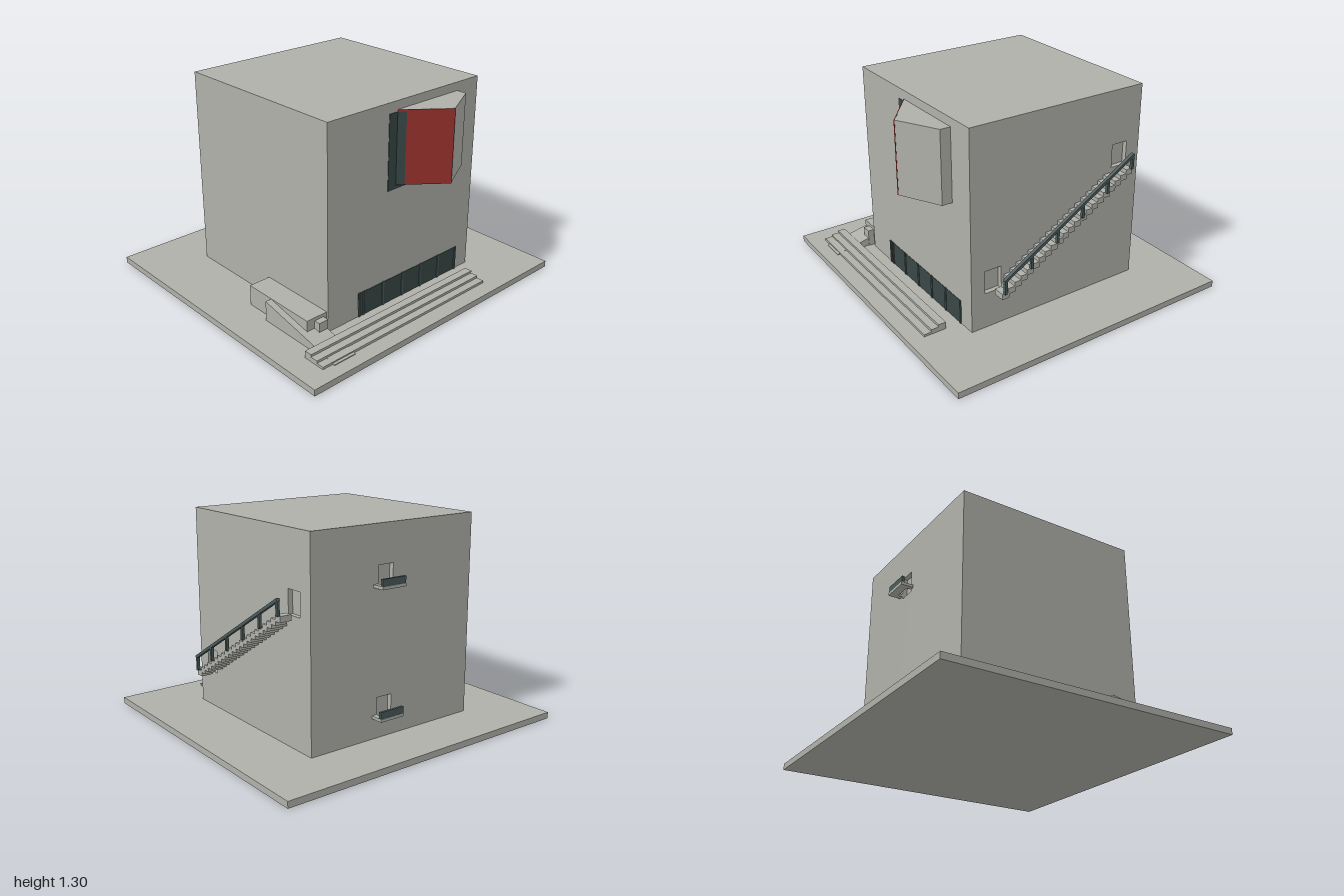
import * as THREE from 'three';

export function createModel() {
  const model = new THREE.Group();
  const mat = (name, color) => Object.assign(new THREE.MeshStandardMaterial({ color }), { name });
  const concrete = mat('concrete', 0xb0b0aa);
  const glass = mat('darkGlass', 0x384746);
  const metal = mat('slateMetal', 0x4c5a5a);
  const red = mat('redPaint', 0x95302a);

  const add = (name, geo, material, parent = model) => {
    const m = new THREE.Mesh(geo, material);
    m.name = name;
    parent.add(m);
    return m;
  };
  // Box given by its minimum and maximum along each axis
  const box = (name, x0, x1, y0, y1, z0, z1, material = concrete, parent = model) => {
    const m = add(name, new THREE.BoxGeometry(x1 - x0, y1 - y0, z1 - z0), material, parent);
    m.position.set((x0 + x1) / 2, (y0 + y1) / 2, (z0 + z1) / 2);
    return m;
  };
  const shapeOf = (pts) => new THREE.Shape(pts.map(([a, b]) => new THREE.Vector2(a, b)));
  const extrude = (shape, depth) => new THREE.ExtrudeGeometry(shape, { depth, bevelEnabled: false });
  // Plan outline [x, z] raised from y0 to y1
  const prism = (name, pts, y0, y1, material = concrete, parent = model) => {
    const geo = extrude(shapeOf(pts.map(([x, z]) => [x, -z])), y1 - y0);
    geo.rotateX(-Math.PI / 2);
    geo.translate(0, y0, 0);
    return add(name, geo, material, parent);
  };
  // Wall skin with rectangular door recesses [u0, u1, v0, v1]
  const skin = 0.03;
  const wallSkin = (name, half, doors) => {
    const s = shapeOf([[-half, 0.04], [half, 0.04], [half, 1.305], [-half, 1.305]]);
    for (const [a, b, c, d] of doors) {
      s.holes.push(new THREE.Path([[a, c], [a, d], [b, d], [b, c]].map(([u, v]) => new THREE.Vector2(u, v))));
    }
    return add(name, extrude(s, skin), concrete);
  };

  // Ground slab and main cube
  box('groundSlab', -1, 1, 0, 0.04, -0.945, 0.945);
  box('buildingCore', -0.6, 0.6 - skin, 0.04, 1.305, -0.6 + skin, 0.6);
  const side = wallSkin('sideWall', 0.6, [[-0.51, -0.4, 0.27, 0.415], [0.395, 0.505, 0.82, 0.965]]);
  side.rotation.y = Math.PI / 2;
  side.position.x = 0.6 - skin;
  const back = wallSkin('backWall', 0.6, [[-0.13, -0.02, 0.93, 1.07], [-0.13, -0.02, 0.145, 0.29]]);
  back.rotation.y = Math.PI;
  back.position.z = -0.6 + skin;

  // Angular bay with its flush window and red flank
  const bay = new THREE.Group();
  bay.name = 'angularBay';
  model.add(bay);
  prism('bayBody', [[-0.08, 0.599], [0.17, 0.798], [0.42, 0.665], [0.42, 0.599]], 0.8, 1.252, concrete, bay);
  box('bayWindow', -0.145, 0.27, 0.775, 1.24, 0.598, 0.603, glass, bay);
  const flank = (name, t0, t1, y0, y1, material) => {
    const p = (t, o) => [-0.08 + 0.25 * t - 0.62 * o, 0.6 + 0.2 * t + 0.78 * o];
    prism(name, [p(t0, -0.001), p(t0, 0.004), p(t1, 0.004), p(t1, -0.001)], y0, y1, material, bay);
  };
  flank('redFlank', 0.16, 1, 0.8, 1.252, red);
  flank('redFlankCap', 0, 0.16, 1.24, 1.252, red);
  flank('flankGlazing', 0, 0.16, 0.8, 1.24, glass);

  // Low strip window with mullions
  box('stripWindow', -0.365, 0.485, 0.04, 0.195, 0.598, 0.602, glass);
  for (const x of [-0.355, -0.325, -0.165, 0, 0.16, 0.32, 0.482]) {
    box('mullion', x - 0.007, x + 0.007, 0.04, 0.198, 0.597, 0.607, metal);
  }

  // Broad front steps
  for (let i = 0; i < 3; i++) {
    box('frontStep', -0.855, 0.48, 0.04 + i * 0.015, 0.055 + i * 0.015, 0.7, 0.845 - i * 0.048);
  }

  // Entrance landing and ramp
  box('landing', -0.745, -0.6, 0.04, 0.17, 0.07, 0.59);
  box('landingBlock', -0.69, -0.625, 0.04, 0.15, 0.59, 0.63);
  const ramp = extrude(shapeOf([[-0.86, 0.04], [-0.27, 0.04], [-0.27, 0.168], [-0.86, 0.045]]), 0.155);
  ramp.rotateY(Math.PI / 2);
  add('ramp', ramp, concrete).position.x = -0.785;

  // Side stair, cut back from the wall in front of both doors
  const stair = new THREE.Group();
  stair.name = 'sideStair';
  model.add(stair);
  const count = 22;
  for (let i = 0; i < count; i++) {
    const z = 0.44 - i * 0.0419, y = 0.303 + i * 0.0255;
    const x0 = i < 2 || i >= count - 2 ? 0.63 : 0.598;
    box('stairStep', x0, 0.705, y - 0.036, y, z - 0.026, z + 0.021, concrete, stair);
  }

  // Handrail and posts
  const railStart = new THREE.Vector2(0.452, 0.388), railEnd = new THREE.Vector2(-0.46, 0.932);
  const run = railStart.clone().sub(railEnd);
  const rail = add('handrail', new THREE.BoxGeometry(0.022, 0.018, run.length()), metal, stair);
  rail.position.set(0.711, (railStart.y + railEnd.y) / 2, (railStart.x + railEnd.x) / 2);
  rail.rotation.x = Math.atan2(-run.y, run.x);
  for (let i = 0; i < 6; i++) {
    const z = 0.444 - i * 0.1796, top = 0.388 + (0.452 - z) * 0.5965;
    box('railPost', 0.702, 0.72, top - 0.09, top, z - 0.008, z + 0.008, metal, stair);
  }

  // Two small rear balconies with notched slabs
  for (const y of [0.945, 0.168]) {
    const balcony = new THREE.Group();
    balcony.name = 'rearBalcony';
    model.add(balcony);
    prism('balconySlab', [[-0.01, -0.599], [0.02, -0.599], [0.02, -0.63], [0.13, -0.63],
      [0.13, -0.599], [0.163, -0.599], [0.163, -0.68], [-0.01, -0.68]], y, y + 0.018, concrete, balcony);
    box('balconyRail', -0.01, 0.163, y + 0.018, y + 0.06, -0.677, -0.661, metal, balcony);
  }
  return model;
}
